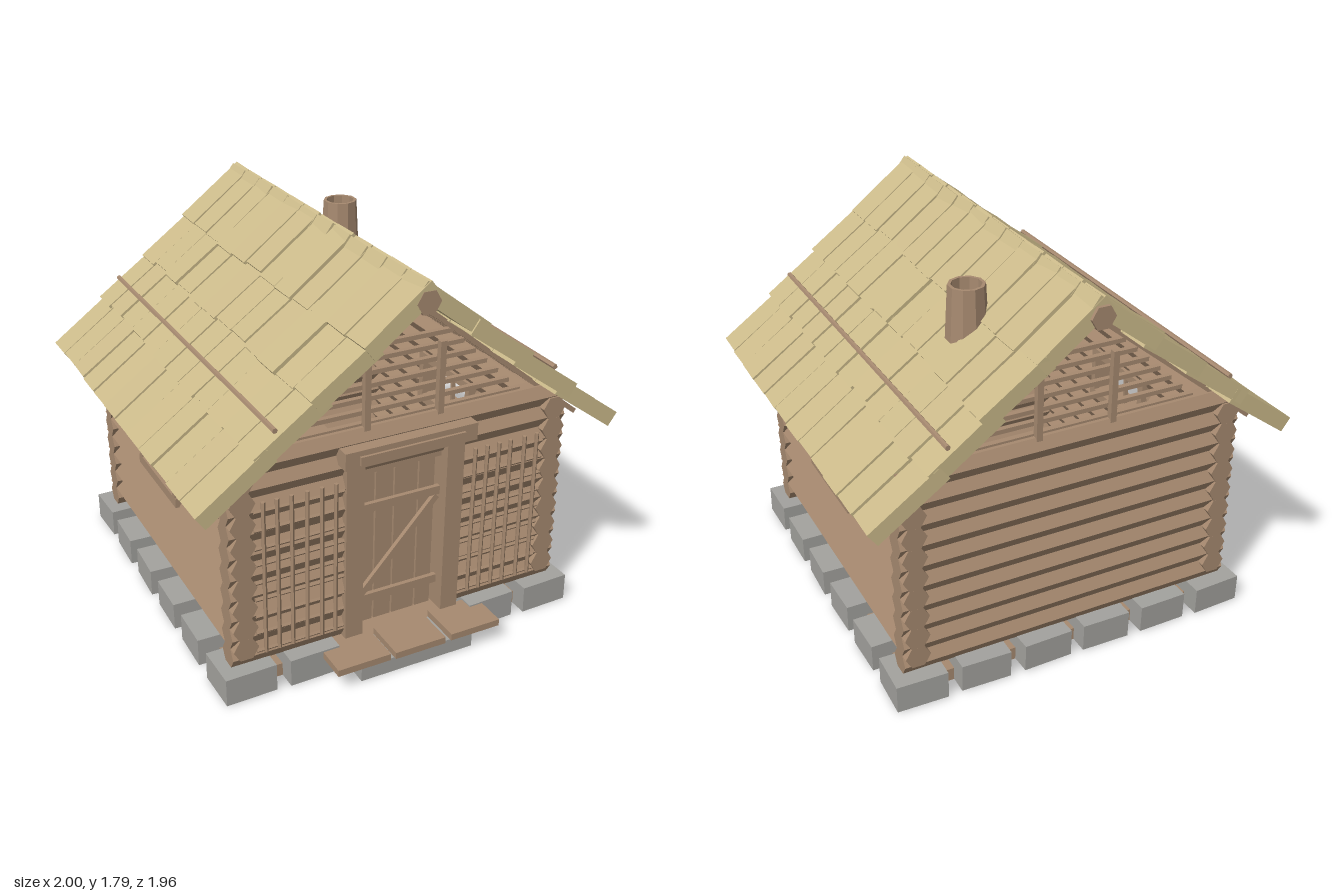
import * as THREE from 'three';

const wood = new THREE.MeshStandardMaterial({ color: 0xa78a70 });
wood.name = 'wood';
const stone = new THREE.MeshStandardMaterial({ color: 0xa3a29e });
stone.name = 'stone';
const straw = new THREE.MeshStandardMaterial({ color: 0xcbba8a });
straw.name = 'straw';

// Small seeded generator for hand-made irregularity
let seed = 7;
const jitter = (amount) => {
  seed = (seed * 16807) % 2147483647;
  return (seed / 2147483647 - 0.5) * 2 * amount;
};

function add(parent, name, geometry, material, x = 0, y = 0, z = 0) {
  const flat = geometry.index ? geometry.toNonIndexed() : geometry;
  flat.computeVertexNormals();
  const mesh = new THREE.Mesh(flat, material);
  mesh.name = name;
  mesh.position.set(x, y, z);
  parent.add(mesh);
  return mesh;
}

function group(parent, name) {
  const g = new THREE.Group();
  g.name = name;
  parent.add(g);
  return g;
}

// Box given by its extents
function block(parent, name, material, x0, x1, y0, y1, z0, z1) {
  return add(parent, name, new THREE.BoxGeometry(x1 - x0, y1 - y0, z1 - z0), material,
    (x0 + x1) / 2, (y0 + y1) / 2, (z0 + z1) / 2);
}

// Six-sided log with flat top, running from a to b along 'x' or 'z'; end b may be tapered
const R = 0.0577;
function log(parent, name, axis, a, b, u, y, r = R, taper = 0) {
  const len = Math.abs(b - a);
  const pts = [[0, 0], [r, 0]];
  if (taper) pts.push([r, len - taper], [r * 0.5, len]);
  else pts.push([r, len]);
  pts.push([0, len]);
  const geo = new THREE.LatheGeometry(pts.map((p) => new THREE.Vector2(...p)), 6);
  // lathe corners start on +z: turn so that a corner points sideways
  if (axis === 'z') geo.rotateY(Math.PI / 2).rotateX(b > a ? Math.PI / 2 : -Math.PI / 2);
  else geo.rotateZ(b > a ? -Math.PI / 2 : Math.PI / 2);
  return axis === 'z' ? add(parent, name, geo, wood, u, y, a) : add(parent, name, geo, wood, a, y, u);
}

const FRONT = 0.737, BACK = -0.767, SIDE = 0.75;

function foundation(root) {
  const g = group(root, 'foundation');
  block(g, 'floor', wood, -0.77, 0.77, 0.003, 0.065, -0.79, 0.76);
  const rock = (x, z) => {
    const m = add(g, 'foundationStone', new THREE.BoxGeometry(0.235, 0.13, 0.215), stone, x, 0.068, z);
    m.rotation.set(jitter(0.015), jitter(0.04), jitter(0.015));
  };
  for (let i = 0; i < 6; i++) {
    const t = -0.75 + 0.3 * i;
    rock(t, -0.77);
    if (Math.abs(t) > 0.2) rock(t, 0.735);
    if (i > 0 && i < 5) for (const s of [-1, 1]) rock(s * 0.75, t - 0.02);
  }
  block(g, 'stepStone', stone, -0.28, 0.28, 0, 0.072, 0.76, 0.95);
  [[-0.41, -0.155], [-0.13, 0.12], [0.15, 0.4]].forEach(([a, b], i) =>
    block(g, 'stepBoard', wood, a, b, 0.093 - 0.004 * (i % 2), 0.125 - 0.004 * (i % 2), 0.78, 0.983));
}

function walls(root) {
  const g = group(root, 'logWalls');
  for (let k = 0; k < 9; k++) {
    const y = 0.225 + 0.1 * k;
    for (const s of [-1, 1]) {
      if (k === 5 || k === 6) {
        log(g, 'sideLog', 'z', 0.8, 0.2, s * SIDE, y, R, 0.06);
        log(g, 'sideLog', 'z', -0.83, -0.235, s * SIDE, y, R, 0.06);
      } else log(g, 'sideLog', 'z', 0.8, -0.83, s * SIDE, y);
    }
  }
  for (let k = 0; k < 10; k++) {
    const y = 0.18 + 0.1 * k;
    log(g, 'backLog', 'x', -0.81, 0.81, BACK, y);
    if (k > 7) log(g, 'frontLog', 'x', -0.81, 0.81, FRONT, y);
    else for (const s of [-1, 1]) log(g, 'frontLog', 'x', s * 0.81, s * 0.24, FRONT, y);
  }
}

function windows(root) {
  for (const s of [-1, 1]) {
    const g = group(root, 'sideWindow');
    const x = [s * 0.69, s * 0.825].sort((a, b) => a - b);
    block(g, 'windowSill', wood, ...x, 0.625, 0.67, -0.255, 0.22);
    block(g, 'windowHead', wood, ...x, 0.86, 0.9, -0.25, 0.215);
    block(g, 'windowJamb', wood, ...x, 0.67, 0.86, 0.18, 0.212);
    block(g, 'windowJamb', wood, ...x, 0.67, 0.86, -0.245, -0.21);
    block(g, 'windowBar', wood, s * 0.75 - 0.01, s * 0.75 + 0.01, 0.67, 0.86, -0.025, -0.01);
  }
}

function door(root) {
  const g = group(root, 'door');
  for (const s of [-1, 1]) {
    const x = [s * 0.2, s * 0.285].sort((a, b) => a - b);
    block(g, 'doorPost', wood, ...x, 0.13, 1.0, 0.67, 0.805);
  }
  block(g, 'doorLintel', wood, -0.315, 0.315, 0.995, 1.075, 0.68, 0.85);
  block(g, 'lintelBoard', wood, -0.25, 0.25, 1.01, 1.05, 0.85, 0.862);
  const cuts = [-0.195, -0.112, -0.02, 0.1, 0.185];
  for (let i = 0; i < 4; i++)
    block(g, 'doorPlank', wood, cuts[i] + 0.004, cuts[i + 1] - 0.004, 0.14, 0.9 + jitter(0.01), 0.715, 0.735);
  for (const y of [0.27, 0.73, 0.92])
    block(g, 'doorBatten', wood, -0.2, 0.2, y - 0.02, y + 0.02, 0.733, 0.755);
  const brace = add(g, 'doorBrace', new THREE.BoxGeometry(0.55, 0.03, 0.02), wood, 0, 0.5, 0.747);
  brace.rotation.z = Math.atan2(0.42, 0.38);
}

// Woven stick screens beside the door
function lattices(root) {
  for (const s of [-1, 1]) {
    const g = group(root, 'lattice');
    for (let i = 0; i < 6; i++) {
      const stick = add(g, 'latticeUpright', new THREE.CylinderGeometry(0.01, 0.01, 0.73, 5), wood,
        s * (0.335 + 0.065 * i + jitter(0.006)), 0.557, 0.803);
      stick.rotation.z = jitter(0.008);
    }
    for (let i = 0; i < 9; i++) {
      const stick = add(g, 'latticeCrossStick', new THREE.CylinderGeometry(0.01, 0.01, 0.41, 5), wood,
        s * 0.495, 0.2 + 0.085 * i + jitter(0.006), 0.792);
      stick.rotation.z = Math.PI / 2 + jitter(0.01);
    }
  }
}

function gables(root) {
  for (const z of [FRONT, BACK]) {
    const g = group(root, 'gable');
    for (let i = 0; i < 7; i++) {
      const w = 0.59 - 0.06 * i, y = 1.13 + 0.0575 * i;
      block(g, 'gableSlat', wood, -w, w, y - 0.01, y + 0.01, z - 0.012, z + 0.012);
    }
    const out = Math.sign(z) * 0.024;
    for (const s of [-1, 1])
      block(g, 'gablePost', wood, s * 0.175 - 0.014, s * 0.175 + 0.014, 1.11, 1.445, z + out - 0.014, z + out + 0.014);
  }
}

// Four overlapping courses of straw bundles on each slope
function roof(root) {
  const pitch = Math.atan(0.8), step = 0.1575;
  const courses = [[0, 0.38], [0.32, 0.66], [0.6, 0.96], [0.9, 1.278]];
  for (const s of [-1, 1]) {
    const slope = group(root, 'roofSlope');
    slope.position.y = 1.797;
    slope.rotation.z = -s * pitch;
    courses.forEach(([a, b], row) => {
      for (let i = 0; i < 12; i++) {
        const end = b + jitter(row === 3 ? 0.004 : 0.012);
        const m = add(slope, 'strawBundle',
          new THREE.BoxGeometry(end - a, 0.072, step - 0.008 + jitter(0.006)), straw,
          s * (a + end) / 2, -0.046 + jitter(0.005), 0.93 - step * (i + 0.5) + jitter(0.004));
        m.rotation.set(jitter(0.02), jitter(0.015), s * (row ? 0.05 : 0.02));
      }
    });
    for (let i = 0; i < 7; i++)
      add(slope, 'rafter', new THREE.BoxGeometry(1.15, 0.022, 0.04), wood, s * 0.65, -0.096, FRONT - i * 0.2507);
    const pole = add(slope, 'roofPole', new THREE.CylinderGeometry(0.012, 0.012, 1.85, 6), wood, s * 0.826, 0.006, -0.02);
    pole.rotation.x = Math.PI / 2;
  }
  log(root, 'ridgePole', 'z', 0.932, -0.972, 0, 1.7, 0.055);
}

function chimney(root) {
  const profile = [[0.098, 1.35], [0.08, 1.695], [0.066, 1.695], [0.066, 1.6], [0, 1.6]];
  add(root, 'chimney', new THREE.LatheGeometry(profile.map((p) => new THREE.Vector2(...p)), 10), wood, 0.32, 0, -0.43);
}

function table(root) {
  const g = group(root, 'table');
  block(g, 'tableTop', wood, -0.25, 0.25, 0.45, 0.475, -0.5, -0.21);
  for (const x of [-0.22, 0.22]) {
    for (const z of [-0.47, -0.24]) block(g, 'tableLeg', wood, x - 0.015, x + 0.015, 0.06, 0.45, z - 0.015, z + 0.015);
    const brace = add(g, 'tableBrace', new THREE.BoxGeometry(0.02, 0.4, 0.02), wood, x, 0.25, -0.355);
    brace.rotation.x = 0.55;
  }
}

export function createModel() {
  seed = 7;
  const root = new THREE.Group();
  root.name = 'logCabin';
  for (const build of [foundation, walls, windows, door, lattices, gables, roof, chimney, table]) build(root);
  return root;
}
